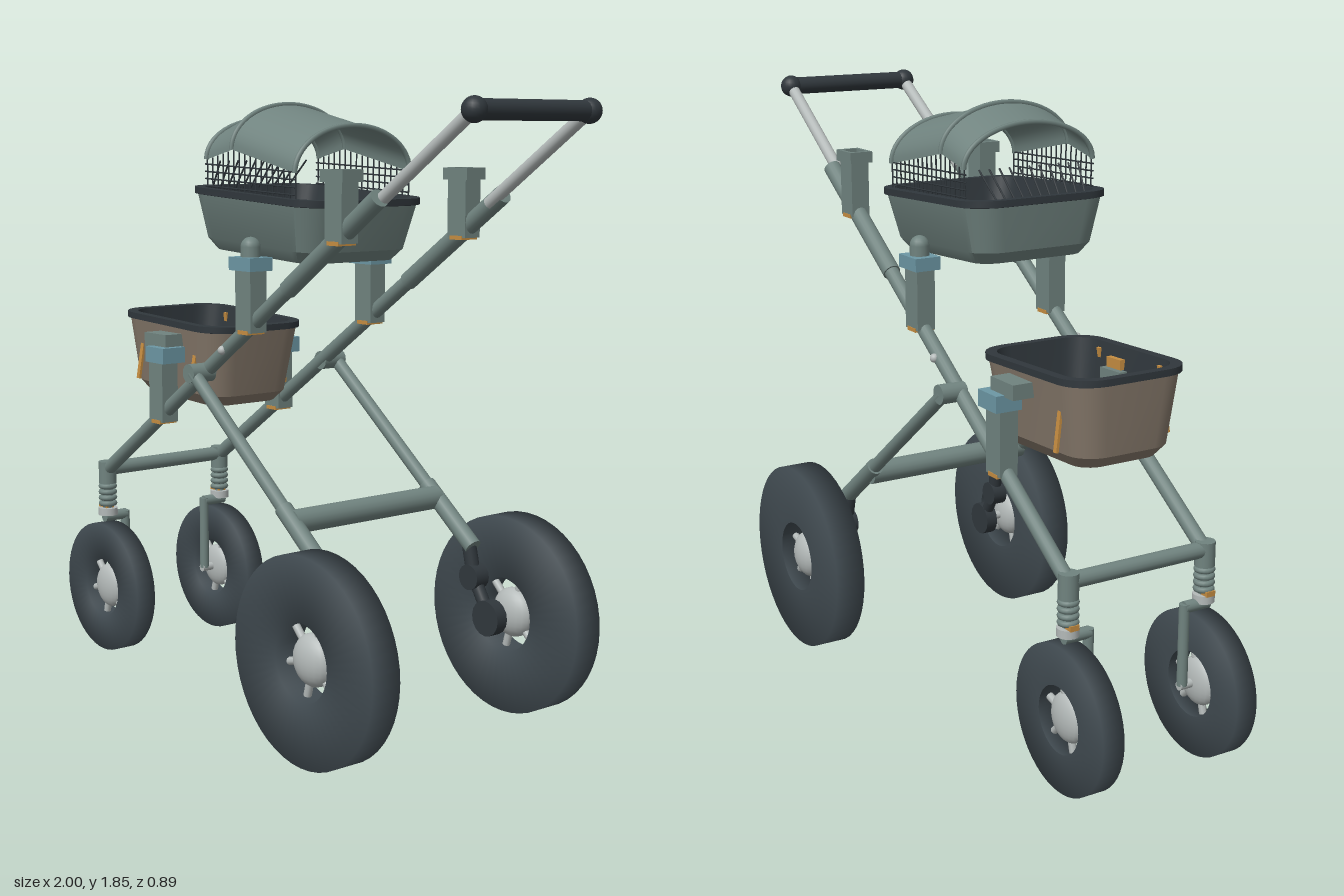
import * as THREE from 'three';
import { toCreasedNormals } from 'three/addons/utils/BufferGeometryUtils.js';

const paint = (name, color, side = THREE.FrontSide) => {
  const m = new THREE.MeshStandardMaterial({ color, side });
  m.name = name;
  return m;
};
const V = (x, y, z) => new THREE.Vector3(x, y, z);

export function createModel() {
  const frame = paint('grey green', 0x70837f);
  const hoodMat = paint('hood grey green', 0x70837f, THREE.DoubleSide);
  const rubber = paint('tyre rubber', 0x404a50);
  const dark = paint('dark trim', 0x30373c);
  const silver = paint('silver', 0xb4bab9);
  const brown = paint('tan brown', 0x85786a);
  const orange = paint('orange', 0xc58d41);
  const blue = paint('clip blue', 0x6c97a4);
  const root = new THREE.Group();
  root.name = 'pramFrame';

  const add = (name, geo, mat, x = 0, y = 0, z = 0, parent = root) => {
    const m = new THREE.Mesh(geo, mat);
    m.name = name;
    m.position.set(x, y, z);
    parent.add(m);
    return m;
  };
  const box = (name, mat, w, h, d, x, y, z, p) => add(name, new THREE.BoxGeometry(w, h, d), mat, x, y, z, p);
  const ball = (name, mat, r, x, y, z, p) => add(name, new THREE.SphereGeometry(r, 20, 14), mat, x, y, z, p);
  const rod = (name, mat, a, b, r, p, seg = 16) => {
    const m = add(name, new THREE.CylinderGeometry(r, r, a.distanceTo(b), seg), mat, 0, 0, 0, p);
    m.position.copy(a).lerp(b, 0.5);
    m.quaternion.setFromUnitVectors(V(0, 1, 0), b.clone().sub(a).normalize());
    return m;
  };

  // Rounded rectangle ring at height y; half sizes w, d
  const ring = (w, d, r, y) => {
    const pts = [];
    for (let c = 0; c < 4; c++) {
      const cx = (c === 0 || c === 3 ? 1 : -1) * (w - r), cz = (c < 2 ? 1 : -1) * (d - r);
      for (let i = 0; i <= 6; i++) {
        const a = (c + i / 6) * Math.PI / 2;
        pts.push(V(cx + r * Math.cos(a), y, cz + r * Math.sin(a)));
      }
    }
    return pts;
  };
  // Skin between rings; cap is 'start', 'end' or none
  const loft = (rings, cap) => {
    const out = [], tri = (...p) => p.forEach(v => out.push(v.x, v.y, v.z));
    const n = rings[0].length;
    for (let k = 0; k < rings.length - 1; k++) for (let i = 0; i < n; i++) {
      const j = (i + 1) % n, A = rings[k], B = rings[k + 1];
      tri(A[i], B[i], A[j]);
      tri(A[j], B[i], B[j]);
    }
    if (cap) {
      const R = cap === 'start' ? rings[0] : rings[rings.length - 1], c = V(0, R[0].y, 0);
      for (let i = 0; i < n; i++) {
        const j = (i + 1) % n;
        if (cap === 'start') tri(c, R[i], R[j]); else tri(c, R[j], R[i]);
      }
    }
    const g = new THREE.BufferGeometry();
    g.setAttribute('position', new THREE.Float32BufferAttribute(out, 3));
    return toCreasedNormals(g, 0.45);
  };

  // Tub with outer shell, dark lining and rim; origin at rim height
  const tub = (name, mat, x, y, tilt, w, d, h) => {
    const g = new THREE.Group();
    g.name = name;
    g.position.set(x, y, 0);
    g.rotation.z = tilt;
    root.add(g);
    add('shell', loft([ring(w - 0.07, d - 0.065, 0.06, -h), ring(w - 0.035, d - 0.04, 0.08, -h + 0.035),
      ring(w - 0.01, d - 0.01, 0.09, -0.02)], 'start'), mat, 0, 0, 0, g);
    add('lining', loft([ring(w - 0.03, d - 0.03, 0.08, 0), ring(w - 0.055, d - 0.06, 0.07, -h + 0.045),
      ring(w - 0.085, d - 0.085, 0.05, -h + 0.015)], 'end'), dark, 0, 0, 0, g);
    add('rim', loft([ring(w - 0.01, d - 0.01, 0.09, -0.022), ring(w, d, 0.1, -0.02), ring(w, d, 0.1, 0),
      ring(w - 0.03, d - 0.03, 0.08, 0)]), dark, 0, 0, 0, g);
    return g;
  };

  // Wheel: tyre ring, spokes and hub, axis along z
  const wheel = (name, R, r, width, hub, spokes, x, z) => {
    const g = new THREE.Group();
    g.name = name;
    g.position.set(x, R, z);
    root.add(g);
    const h = width / 2;
    const prof = [[r, -h], [R, -h], [R, h], [r, h], [r, -h]].map(p => new THREE.Vector2(...p));
    add('tyre', new THREE.LatheGeometry(prof, 48).rotateX(Math.PI / 2), rubber, 0, 0, 0, g);
    ball('hub', silver, hub, 0, 0, 0, g).scale.z = h * 0.95 / hub;
    for (let i = 0; i < spokes; i++) {
      const a = (i + 0.25) / spokes * Math.PI * 2;
      rod('spoke', silver, V(0, 0, 0), V(Math.cos(a) * (r + 0.01), Math.sin(a) * (r + 0.01), 0), 0.012, g, 8);
    }
  };

  // Lower basket with straps and floor strips
  const basket = tub('lowerBasket', brown, -0.485, 1.165, -0.04, 0.275, 0.2, 0.265);
  for (const s of [1, -1]) {
    for (const x of [-0.15, 0.15]) {
      const strap = box('strap', orange, 0.016, 0.2, 0.008, x, -0.12, s * 0.177, basket);
      strap.rotation.x = s * -0.14;
    }
    box('floorStrip', frame, 0.26, 0.012, 0.014, 0, -0.24, s * 0.1, basket);
    box('innerClip', orange, 0.07, 0.03, 0.035, 0.055, -0.05, s * 0.165, basket);
    box('innerPad', frame, 0.1, 0.045, 0.03, 0.055, -0.09, s * 0.15, basket);
  }

  // Upper cot
  tub('upperCot', frame, 0.01, 1.583, -0.055, 0.31, 0.245, 0.19);

  // Hood: arch sections joined along x
  const hoodRows = [[-0.2, 1.8, 1.68], [-0.07, 1.845, 1.71], [0.235, 1.78, 1.645]];
  const arch = ([x, top, base], grow = 0) => Array.from({ length: 25 }, (_, i) => {
    const a = i / 24 * Math.PI;
    return V(x, base + (top - base + grow) * Math.sin(a), (0.22 + grow) * Math.cos(a));
  });
  const hp = [], hi = [];
  for (let k = 0; k < 2; k++) {
    const base = hp.length / 3;
    for (const p of [...arch(hoodRows[k]), ...arch(hoodRows[k + 1])]) hp.push(p.x, p.y, p.z);
    for (let i = 0; i < 24; i++) {
      const a = base + i, b = a + 25;
      hi.push(a, b, a + 1, a + 1, b, b + 1);
    }
  }
  const hoodGeo = new THREE.BufferGeometry();
  hoodGeo.setAttribute('position', new THREE.Float32BufferAttribute(hp, 3));
  hoodGeo.setIndex(hi);
  hoodGeo.computeVertexNormals();
  add('hood', hoodGeo, hoodMat);
  for (const row of hoodRows) {
    add('hoodRib', new THREE.TubeGeometry(new THREE.CatmullRomCurve3(arch(row, 0.002)), 32, 0.008, 6), frame);
  }

  // Netting below the hood: sides and front end
  for (const s of [1, -1]) {
    for (let i = 0; i <= 16; i++) {
      const x = -0.2 + i * 0.0272;
      const top = x < -0.07 ? 1.68 + (x + 0.2) * 0.23 : 1.71 - (x + 0.07) * 0.213;
      rod('netUpright', dark, V(x, 1.575 - x * 0.055, s * 0.218), V(x, top, s * 0.219), 0.0025, root, 5);
    }
    for (let k = 0; k < 4; k++) {
      const y = 1.592 + k * 0.022;
      rod('netLine', dark, V(-0.21, y + 0.008, s * 0.219), V(0.235, y - 0.01, s * 0.219), 0.0025, root, 5);
    }
  }
  for (let i = -5; i <= 5; i++) {
    rod('netEndBar', dark, V(-0.27, 1.59, i * 0.03), V(-0.2, 1.675, i * 0.034), 0.003, root, 5);
  }

  // Everything that repeats on both sides
  for (const s of [1, -1]) {
    const P = (x, y, z) => V(x, y, z * s);

    // Main rail and telescopic handle
    rod('mainRail', frame, P(-0.78, 0.625, 0.235), P(0.3, 1.365, 0.235), 0.023);
    rod('upperSleeve', frame, P(0.22, 1.31, 0.235), P(0.62, 1.585, 0.235), 0.028);
    rod('handleTube', silver, P(0.58, 1.558, 0.22), P(0.96, 1.817, 0.215), 0.019);
    ball('handleJoint', dark, 0.035, 0.96, 1.817, s * 0.215);
    ball('railPin', silver, 0.014, -0.08, 1.105, s * 0.255);

    // Rear leg, lower sleeve, swing arm and axle
    rod('legHinge', frame, P(-0.19, 1.025, 0.22), P(-0.19, 1.025, 0.305), 0.03);
    rod('rearLeg', frame, P(-0.19, 1.025, 0.285), P(0.44, 0.535, 0.285), 0.021);
    rod('legSleeve', frame, P(0.26, 0.675, 0.285), P(0.47, 0.512, 0.285), 0.027);
    rod('armDrop', dark, P(0.45, 0.525, 0.285), P(0.47, 0.42, 0.29), 0.022);
    rod('armPivot', dark, P(0.47, 0.42, 0.265), P(0.47, 0.42, 0.315), 0.04);
    rod('swingArm', dark, P(0.47, 0.42, 0.29), P(0.54, 0.305, 0.29), 0.02);
    rod('axleBoss', dark, P(0.54, 0.305, 0.27), P(0.54, 0.305, 0.31), 0.055);
    rod('rearAxle', silver, P(0.54, 0.305, 0.28), P(0.54, 0.305, 0.39), 0.014);
    wheel('rearWheel', 0.305, 0.115, 0.098, 0.077, 6, 0.54, s * 0.395);

    // Front post, spring and one-sided fork
    rod('frontPost', frame, P(-0.78, 0.655, 0.235), P(-0.78, 0.58, 0.235), 0.03);
    rod('springCore', frame, P(-0.78, 0.6, 0.235), P(-0.78, 0.46, 0.235), 0.017);
    for (let i = 0; i < 4; i++) {
      add('springCoil', new THREE.TorusGeometry(0.023, 0.009, 8, 18).rotateX(Math.PI / 2), frame, -0.78, 0.57 - i * 0.02, s * 0.235);
    }
    box('springTag', orange, 0.05, 0.016, 0.03, -0.79, 0.502, s * 0.235);
    rod('collar', silver, P(-0.78, 0.495, 0.235), P(-0.78, 0.47, 0.235), 0.033);
    rod('forkTop', frame, P(-0.78, 0.464, 0.25), P(-0.78, 0.464, 0.165), 0.018);
    rod('forkLeg', frame, P(-0.78, 0.475, 0.167), P(-0.78, 0.22, 0.167), 0.016);
    rod('frontAxle', silver, P(-0.78, 0.22, 0.155), P(-0.78, 0.22, 0.23), 0.014);
    wheel('frontWheel', 0.22, 0.1, 0.07, 0.074, 6, -0.78, s * 0.229);

    // Mounting brackets along the rail
    for (const [x, y, h] of [[-0.432, 0.84, 0.2], [0.04, 1.17, 0.2], [0.46, 1.455, 0.19]]) {
      box('bracketPost', frame, 0.075, h, 0.06, x, y + h / 2, s * 0.235);
      box('bracketFoot', orange, 0.05, 0.012, 0.064, x, y, s * 0.235);
    }
    // Lower basket clip
    box('lowerClip', blue, 0.1, 0.05, 0.085, -0.42, 1.058, s * 0.235);
    box('lowerHook', frame, 0.12, 0.045, 0.07, -0.455, 1.1, s * 0.215);
    // Cot clip
    box('cotClip', blue, 0.105, 0.04, 0.085, 0.04, 1.375, s * 0.235);
    add('cotClipDome', new THREE.CapsuleGeometry(0.03, 0.03, 6, 14), frame, 0.04, 1.41, s * 0.235);
    // Empty upper socket, open at the top
    for (const k of [-1, 1]) {
      box('socketWall', frame, 0.1, 0.035, 0.012, 0.46, 1.642, s * 0.235 + k * 0.032);
      box('socketEnd', frame, 0.014, 0.035, 0.075, 0.46 + k * 0.043, 1.642, s * 0.235);
    }
  }

  // Cross members and grip
  rod('frontCrossbar', frame, V(-0.78, 0.63, -0.235), V(-0.78, 0.63, 0.235), 0.024);
  rod('rearCrossbar', frame, V(0.3, 0.64, -0.285), V(0.3, 0.64, 0.285), 0.036);
  rod('handleGrip', dark, V(0.96, 1.817, -0.215), V(0.96, 1.817, 0.215), 0.028);

  return root;
}
